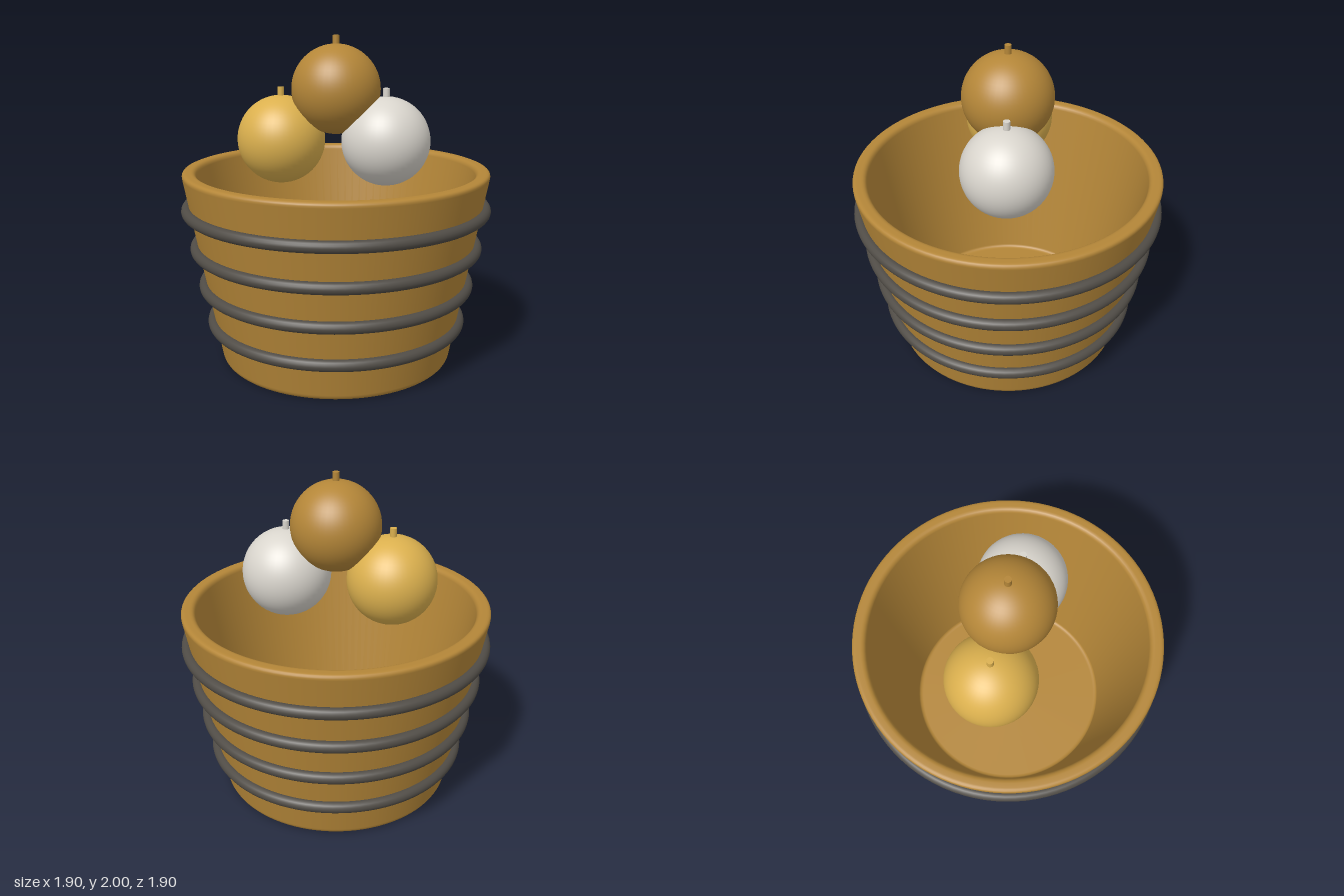
import * as THREE from 'three';

const flat = (name, color) => {
  const m = new THREE.MeshStandardMaterial({ color });
  m.name = name;
  return m;
};

export function createModel() {
  const model = new THREE.Group();
  model.name = 'basketOfBaubles';
  const brown = flat('warm brown', 0xb48638);
  const gold = flat('gold', 0xdbb04e);
  const silver = flat('silver', 0xd9d5cd);
  const iron = flat('dark iron', 0x504c46);

  const add = (parent, name, geometry, material, x = 0, y = 0, z = 0) => {
    const mesh = new THREE.Mesh(geometry, material);
    mesh.name = name;
    mesh.position.set(x, y, z);
    parent.add(mesh);
    return mesh;
  };

  // Tapered bucket with rounded foot and rim; closed floor inside and underneath
  const outline = new THREE.Path();
  outline.moveTo(0, 0);
  outline.lineTo(0.69, 0);
  outline.quadraticCurveTo(0.72, 0, 0.727, 0.035);
  outline.lineTo(0.936, 1.17);
  outline.quadraticCurveTo(0.941, 1.2, 0.91, 1.2);
  outline.lineTo(0.885, 1.2);
  outline.quadraticCurveTo(0.857, 1.2, 0.85, 1.17);
  outline.lineTo(0.65, 0.09);
  outline.quadraticCurveTo(0.645, 0.07, 0.62, 0.07);
  outline.lineTo(0, 0.07);
  add(model, 'bucket', new THREE.LatheGeometry(outline.getPoints(5), 96), brown);

  // Four hoops following the taper
  for (let i = 0; i < 4; i++) {
    const hoop = add(model, 'hoop', new THREE.TorusGeometry(0.778 + i * 0.0457, 0.035, 16, 96), iron, 0, 0.243 + i * 0.24);
    hoop.rotation.x = Math.PI / 2;
  }

  // Balls with a small stem on top
  const ball = (name, material, x, y) => {
    const group = new THREE.Group();
    group.name = name;
    group.position.set(x, y, 0);
    add(group, 'ball', new THREE.SphereGeometry(0.27, 48, 32), material);
    add(group, 'stem', new THREE.CylinderGeometry(0.02, 0.02, 0.08, 16), material, 0, 0.28);
    model.add(group);
  };
  ball('goldBauble', gold, -0.34, 1.37);
  ball('silverBauble', silver, 0.305, 1.37);
  ball('brownBauble', brown, 0, 1.68);

  return model;
}
